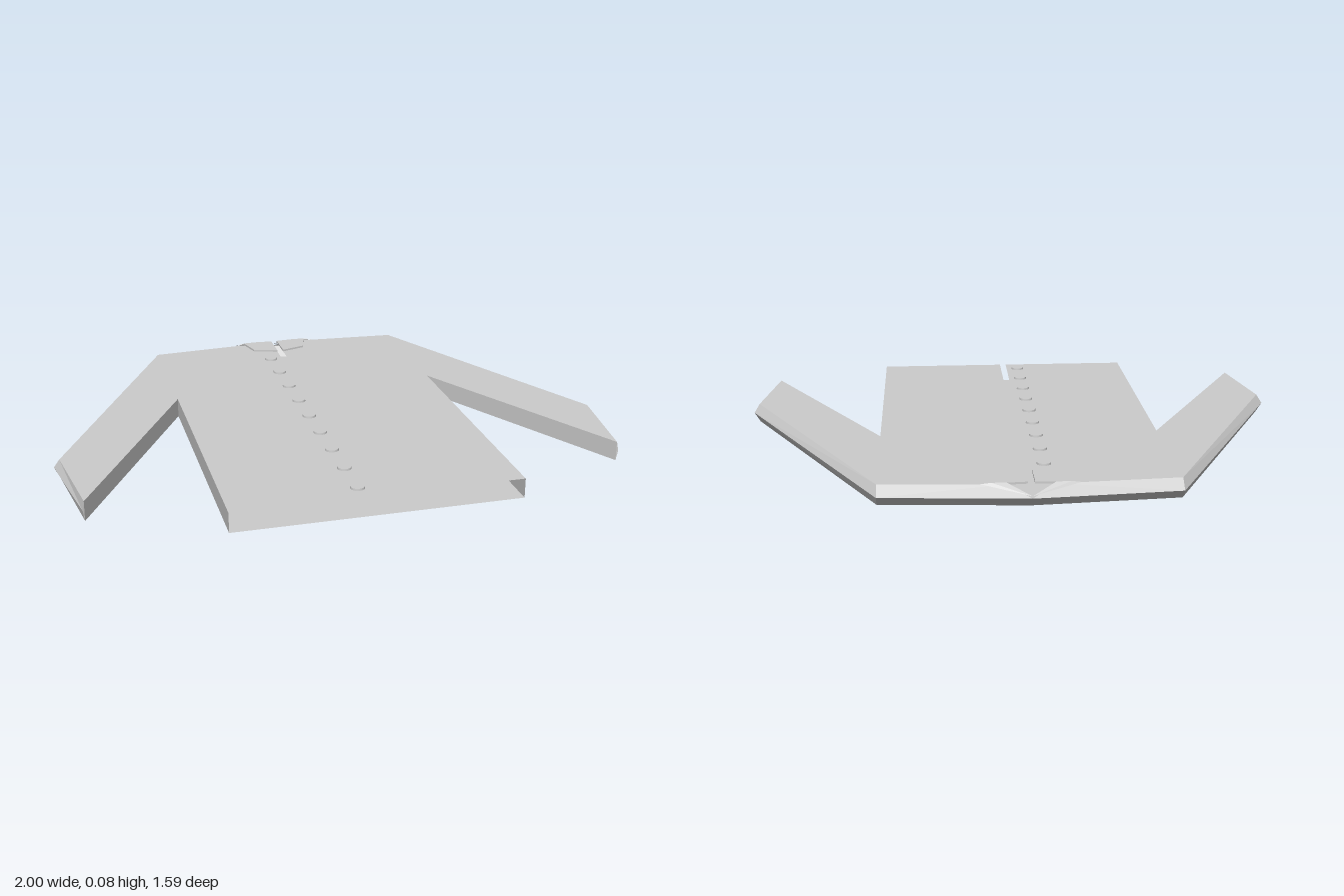
import * as THREE from 'three';

const TOP = 0.07, MID = 0.038;
const cloth = new THREE.MeshStandardMaterial({ color: 0xcccccc, flatShading: true, side: THREE.DoubleSide });

// Mesh from triangles of [x, y, z] corners; side = -1 mirrors it in x
function mesh(name, tris, side) {
  const corners = tris.flatMap(t => (side < 0 ? [t[0], t[2], t[1]] : t));
  const pos = corners.flatMap(([x, y, z]) => [x * side, y, z]);
  const geo = new THREE.BufferGeometry();
  geo.setAttribute('position', new THREE.Float32BufferAttribute(pos, 3));
  geo.computeVertexNormals();
  const m = new THREE.Mesh(geo, cloth);
  m.name = name;
  return m;
}

// Flat panel over an [x, z] outline, facing up or down
function panel(outline, y, up) {
  const pts = outline.map(([x, z]) => new THREE.Vector2(x, -z));
  if (THREE.ShapeUtils.isClockWise(pts)) pts.reverse();
  return THREE.ShapeUtils.triangulateShape(pts, []).map(f => {
    const t = f.map(i => [pts[i].x, y, -pts[i].y]);
    return up ? t : t.reverse();
  });
}

// Band of quads between an upper and a lower line
function band(upper, lower) {
  const tris = [];
  for (let i = 0; i < upper.length - 1; i++) {
    tris.push([upper[i], upper[i + 1], lower[i]], [upper[i + 1], lower[i + 1], lower[i]]);
  }
  return tris;
}

const at = (pts, y) => pts.map(([x, z]) => [x, y, z]);

export function createModel() {
  const shirt = new THREE.Group();
  shirt.name = 'shirt';

  // Half outline: shoulder, cuff, then underarm and side down to the hem
  const sleeveEdge = [[0.5, -0.715], [0.98, 0.25], [0.93, 0.597]];
  const side = [[0.5, -0.2], [0.5, 0.797]];
  const ridge = at([[0, -0.796], [0.5, -0.755], [1, 0.24], [0.936, 0.6]], MID);
  const frontNeck = [0.08, -0.745], backNeck = [0, -0.755];

  for (const s of [1, -1]) {
    const half = new THREE.Group();
    half.name = s > 0 ? 'leftHalf' : 'rightHalf';
    half.add(
      mesh('frontPanel', panel([[0.012, -0.742], frontNeck, ...sleeveEdge, ...side, [0.012, 0.797]], TOP, true), s),
      mesh('backPanel', panel([backNeck, ...sleeveEdge, ...side, [0, 0.797]], 0, false), s),
      // Bevelled shoulder, sleeve and cuff edge
      mesh('upperEdge', band(ridge, at([frontNeck, ...sleeveEdge], TOP)).map(t => t.reverse()), s),
      mesh('lowerEdge', band(ridge, at([backNeck, ...sleeveEdge], 0)), s),
      // Underarm and side wall; the hem stays open
      mesh('sideSeam', band(at([sleeveEdge[2], ...side], TOP), at([sleeveEdge[2], ...side], 0)), s),
      mesh('cuffCorner', [[[0.93, TOP, 0.597], [0.93, 0, 0.597], ridge[3]]], s),
    );

    // Folded collar flap lying on the front
    const flap = [[0.012, -0.742], [0.08, -0.747], [0.13, -0.745], [0.105, -0.655], [0.012, -0.625]];
    const loop = [...flap, flap[0]];
    half.add(
      mesh('collarFlap', panel(flap, 0.077, true), s),
      mesh('collarRim', band(at(loop, 0.077), at(loop, TOP)), s),
      mesh('collarFold', [
        [[0, 0.046, -0.796], [0.08, 0.077, -0.747], [0.13, 0.077, -0.745]],
        [[0, 0.046, -0.796], [0.13, 0.077, -0.745], [0.165, 0.071, -0.74]],
        [[0.08, 0.077, -0.747], [0.165, 0.071, -0.74], [0.13, 0.077, -0.745]],
      ], s),
    );
    shirt.add(half);
  }

  // Row of buttons beside the front opening
  const buttonGeo = new THREE.CylinderGeometry(0.024, 0.025, 0.009, 20);
  for (let i = 0; i < 9; i++) {
    const button = new THREE.Mesh(buttonGeo, new THREE.MeshStandardMaterial({ color: 0xcccccc }));
    button.name = 'button';
    button.position.set(-0.058, 0.0725, -0.545 + i * 0.1585);
    shirt.add(button);
  }
  return shirt;
}
